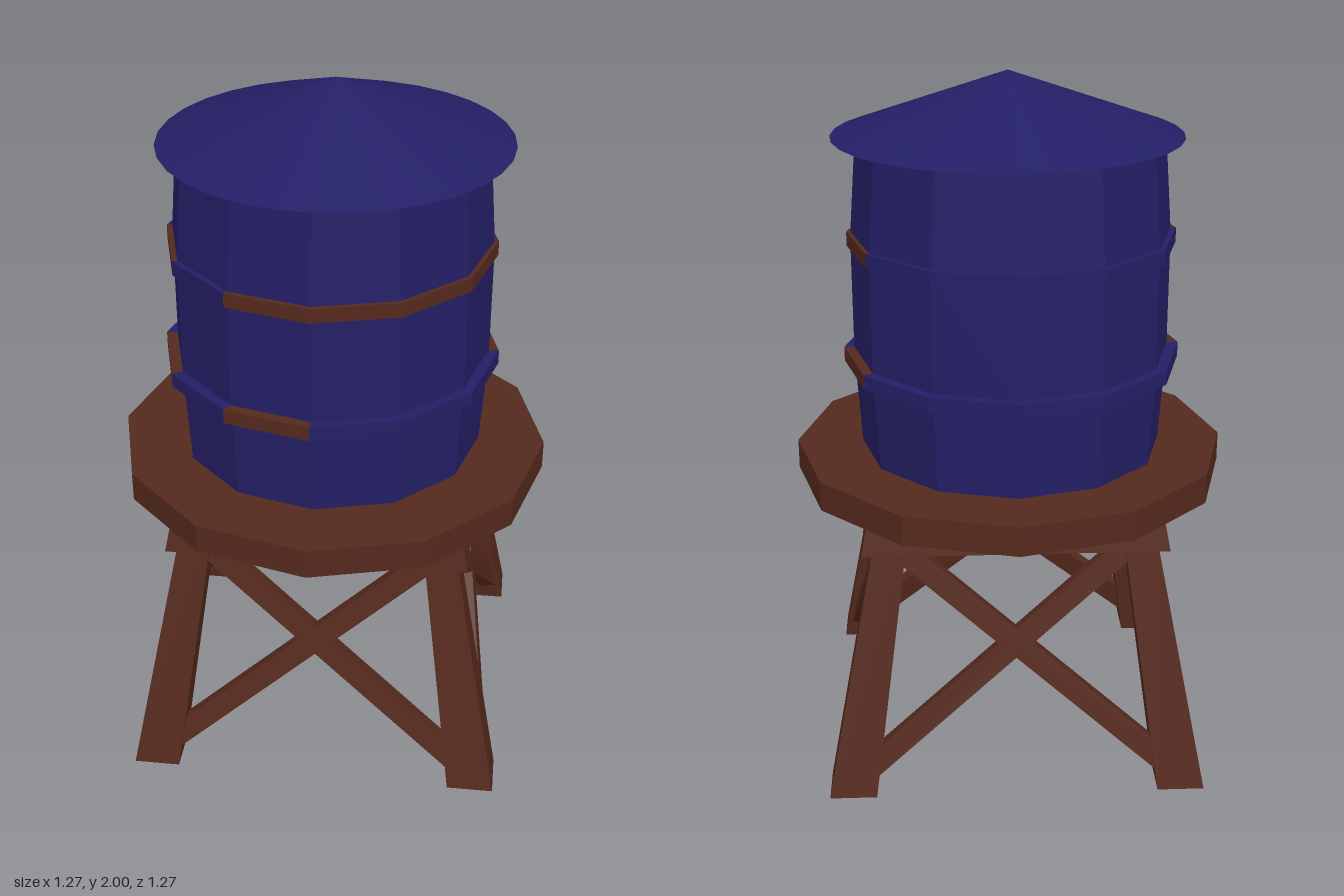
import * as THREE from 'three';

const brown = new THREE.MeshStandardMaterial({ color: 0x55291d, flatShading: true });
const blue = new THREE.MeshStandardMaterial({ color: 0x241f66, flatShading: true });

function add(parent, name, geometry, material, x = 0, y = 0, z = 0) {
  const mesh = new THREE.Mesh(geometry, material);
  mesh.name = name;
  mesh.position.set(x, y, z);
  parent.add(mesh);
  return mesh;
}

// Six-sided solid between two quads of [x, z] corners, counter-clockwise seen from below
function prism(bottom, top, y0, y1) {
  const points = [
    ...bottom.map(([x, z]) => [x, y0, z]),
    ...top.map(([x, z]) => [x, y1, z]),
  ].flat();
  const index = [0, 1, 2, 0, 2, 3, 4, 6, 5, 4, 7, 6];
  for (let i = 0; i < 4; i++) {
    const j = (i + 1) % 4;
    index.push(i, i + 4, j, j, i + 4, j + 4);
  }
  const geometry = new THREE.BufferGeometry();
  geometry.setAttribute('position', new THREE.Float32BufferAttribute(points, 3));
  geometry.setIndex(index);
  const flat = geometry.toNonIndexed();
  flat.computeVertexNormals();
  return flat;
}

const square = (a, b) => [[a, a], [b, a], [b, b], [a, b]];
const mitred = (inner, outer) => [[-inner, inner], [inner, inner], [outer, outer], [-outer, outer]];

export function createModel() {
  const model = new THREE.Group();
  model.name = 'waterTower';

  // Stand: the same leg, beam and crossed braces on each of four sides
  const legGeometry = prism(square(0.408, 0.543), square(0.3, 0.39), 0, 0.8);
  const beamGeometry = prism(mitred(0.36, 0.435), mitred(0.345, 0.42), 0.72, 0.8);
  const low = new THREE.Vector2(0.43, 0.07);
  const high = new THREE.Vector2(-0.335, 0.735);
  const span = high.clone().sub(low);
  const braceGeometry = new THREE.BoxGeometry(span.length(), 0.065, 0.045);
  for (let i = 0; i < 4; i++) {
    const side = new THREE.Group();
    side.name = 'standSide';
    side.rotation.y = (i * Math.PI) / 2;
    model.add(side);
    add(side, 'leg', legGeometry, brown);
    add(side, 'beam', beamGeometry, brown);

    // Braces lean inward with the legs
    const braces = new THREE.Group();
    braces.name = 'crossBraces';
    braces.position.z = 0.505;
    braces.rotation.x = -0.191;
    side.add(braces);
    for (const s of [-1, 1]) {
      const brace = add(braces, 'brace', braceGeometry, brown,
        (s * (low.x + high.x)) / 2, (low.y + high.y) / 2);
      brace.rotation.z = Math.atan2(span.y, s * span.x);
    }
  }

  // Twelve-sided deck
  add(model, 'platform', new THREE.CylinderGeometry(0.633, 0.633, 0.087, 12), brown, 0, 0.856, 0);

  // Barrel-shaped tank
  const profile = [[0, 0.9], [0.443, 0.9], [0.46, 1.17], [0.46, 1.53], [0.438, 1.813], [0, 1.813]]
    .map(([x, y]) => new THREE.Vector2(x, y));
  add(model, 'tank', new THREE.LatheGeometry(profile, 12), blue, -0.005, 0, -0.01);

  // Hoops, made of wedges that are brown on some faces and blue on the others
  const hoops = [
    { name: 'lowerHoop', y: 1.175, radius: 0.491, brownFaces: [3, 9, 11] },
    { name: 'upperHoop', y: 1.523, radius: 0.473, brownFaces: [0, 1, 2, 3, 9, 11] },
  ];
  for (const { name, y, radius, brownFaces } of hoops) {
    const hoop = new THREE.Group();
    hoop.name = name;
    hoop.position.set(-0.007, y, -0.01);
    model.add(hoop);
    for (let i = 0; i < 12; i++) {
      const wedge = new THREE.CylinderGeometry(radius, radius, 0.042, 1, 1, false,
        (i * Math.PI) / 6, Math.PI / 6);
      add(hoop, 'hoopSection', wedge, brownFaces.includes(i) ? brown : blue);
    }
  }

  // Shallow conical roof
  add(model, 'roof', new THREE.ConeGeometry(0.497, 0.178, 32), blue, 0.005, 1.911, -0.017);

  return model;
}
